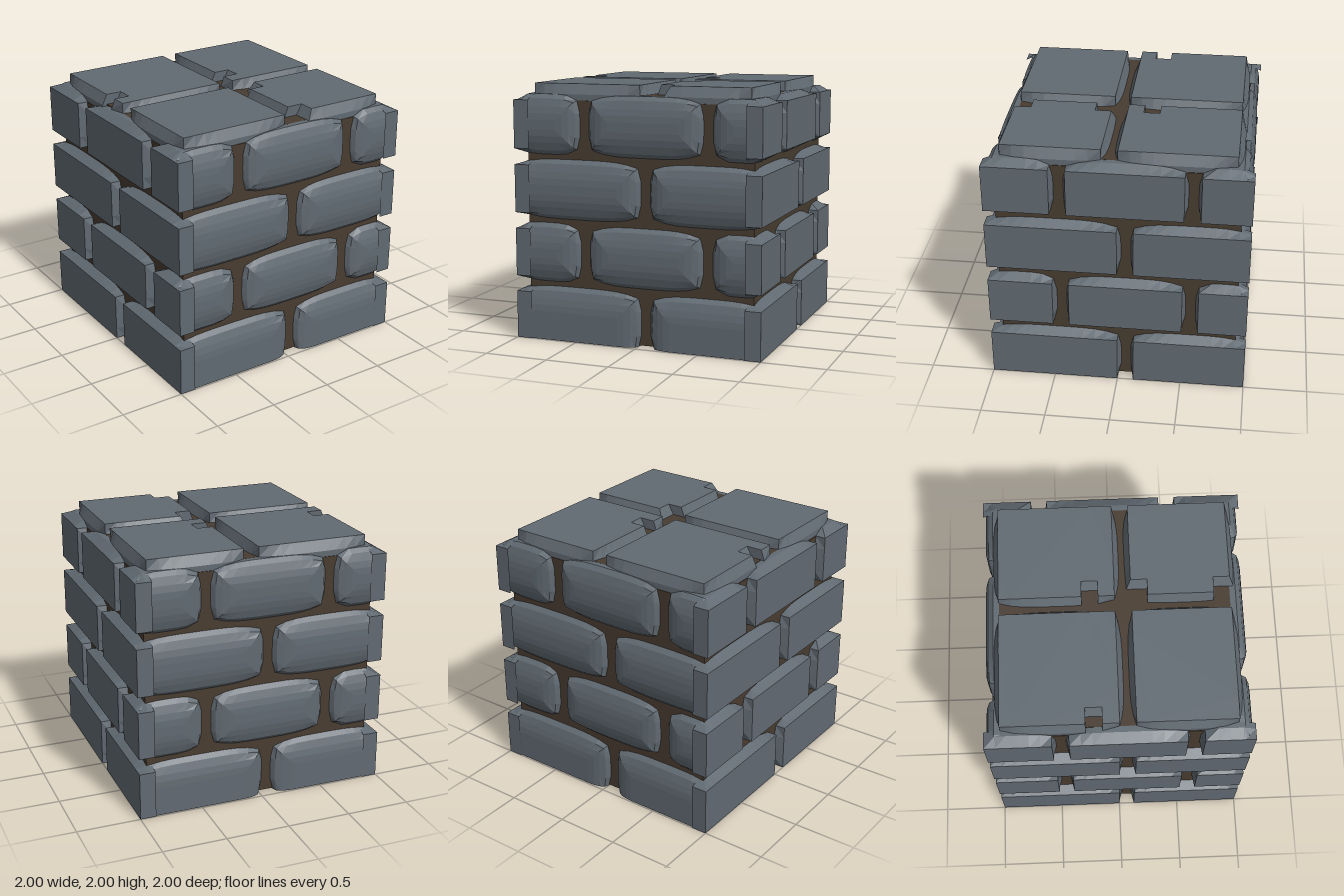
import * as THREE from 'three';

const stone = new THREE.MeshStandardMaterial({ color: 0x616a72 });
stone.name = 'slate stone';
const mortar = new THREE.MeshStandardMaterial({ color: 0x483c30 });
mortar.name = 'brown mortar';

const CORE = 0.875, FLOOR = 0.92;
const taper = (p, a, b) => Math.max(0, 1 - Math.abs((2 * (p - a)) / (b - a) - 1) ** 4);

// Split every long edge of a polygon so that it can curve
function subdivide(corners) {
  return corners.flatMap(([ax, ay], i) => {
    const [bx, by] = corners[(i + 1) % corners.length];
    const n = Math.max(1, Math.round(Math.hypot(bx - ax, by - ay) / 0.09));
    return Array.from({ length: n }, (_, k) => [ax + ((bx - ax) * k) / n, ay + ((by - ay) * k) / n]);
  });
}

// Faceted solid through matching loops of [x, y, z], closed on the outer end
function loft(loops) {
  const pos = [];
  for (let l = 0; l + 1 < loops.length; l++) {
    const a = loops[l], b = loops[l + 1];
    a.forEach((p, i) => {
      const j = (i + 1) % a.length;
      pos.push(...p, ...a[j], ...b[j], ...p, ...b[j], ...b[i]);
    });
  }
  const top = loops[loops.length - 1];
  const flat = top.map(([x, y]) => new THREE.Vector2(x, y));
  for (const f of THREE.ShapeUtils.triangulateShape(flat, [])) f.forEach((i) => pos.push(...top[i]));
  const geo = new THREE.BufferGeometry();
  geo.setAttribute('position', new THREE.Float32BufferAttribute(pos, 3));
  geo.computeVertexNormals();
  return geo;
}

function addMesh(parent, geo, mat, name) {
  const m = new THREE.Mesh(geo, mat);
  m.name = name;
  parent.add(m);
  return m;
}

// Profiles as [depth, base flare, inset]
const flatProfile = [[CORE, 1, 0], [FLOOR, 1, 0], [1, 0, 0]];
const pillowProfile = [
  [CORE, 1, 0], [FLOOR, 1, 0], [0.955, 0.6, 0.015], [0.975, 0, 0.05], [0.986, 0, 0.1], [0.99, 0, 0.15],
];

// Wall brick: flared at the root, straight where it meets a cube edge
function brick(u0, u1, v0, v1, profile) {
  const pts = subdivide([[u0, v0], [u1, v0], [u1, v1], [u0, v1]]);
  const fixL = u0 === -1, fixR = u1 === 1, fixB = v0 === 0;
  return loft(profile.map(([d, flare, inset]) => {
    const a = fixL ? u0 : u0 + inset, b = fixR ? u1 : u1 - inset;
    const c = fixB ? v0 : v0 + inset, e = v1 - inset;
    return pts.map(([u, v]) => {
      const du = 0.025 * flare * taper(v, v0, v1), dv = 0.045 * flare * taper(u, u0, u1);
      let x = a + ((u - u0) / (u1 - u0)) * (b - a);
      let y = c + ((v - v0) / (v1 - v0)) * (e - c);
      if (u === u0 && !fixL) x -= du;
      if (u === u1 && !fixR) x += du;
      if (v === v0 && !fixB) y -= dv;
      if (v === v1) y += dv;
      return [x, y, d];
    });
  }));
}

// Top slab with square chips along its left edge (chips listed from high w to low w)
function slab(x0, x1, w0, w1, chips) {
  const xi = x0 + 0.125;
  const corners = [[x1, w0], [x1, w1]];
  if (!chips.some((c) => c[1] === w1)) corners.push([x0, w1]);
  for (const [lo, hi] of chips) {
    if (hi !== w1) corners.push([x0, hi]);
    corners.push([xi, hi], [xi, lo]);
    if (lo !== w0) corners.push([x0, lo]);
  }
  if (!chips.some((c) => c[0] === w0)) corners.push([x0, w0]);
  const pts = subdivide(corners);
  return loft([[CORE + 1, 1], [FLOOR + 1, 1], [2, 0]].map(([d, flare]) => pts.map(([x, w]) => {
    const dx = 0.04 * flare * taper(w, w0, w1), dw = 0.04 * flare * taper(x, x0, x1);
    let nx = x, nw = w;
    if (x === x0) nx -= dx;
    if (x === x1) nx += dx;
    if (w === w0) nw -= dw;
    if (w === w1) nw += dw;
    if (x === xi && chips.some((c) => w >= c[0] && w <= c[1])) nx -= 0.045 * flare;
    return [nx, nw, d];
  })));
}

export function createModel() {
  const model = new THREE.Group();
  model.name = 'stoneBrickBlock';

  // Mortar core
  const inner = addMesh(model, new THREE.BoxGeometry(2 * CORE, FLOOR + 1, 2 * CORE), mortar, 'mortarCore');
  inner.position.y = (FLOOR + 1) / 2;
  const outer = addMesh(model, new THREE.BoxGeometry(2 * FLOOR, 1.865, 2 * FLOOR), mortar, 'mortarWalls');
  outer.position.y = 0.01 + 1.865 / 2;

  // Four brick walls; front and back are pillowed, left and right flat
  const courses = [
    [[-1, 0], [0.125, 1]],
    [[-1, -0.5], [-0.375, 0.5], [0.625, 1]],
  ];
  ['frontWall', 'rightSideWall', 'backWall', 'leftSideWall'].forEach((name, k) => {
    const wall = new THREE.Group();
    wall.name = name;
    wall.rotation.y = (k * Math.PI) / 2;
    for (let row = 0; row < 4; row++) {
      for (const [u0, u1] of courses[row % 2]) {
        const geo = brick(u0, u1, row / 2, row / 2 + 0.375, k % 2 ? flatProfile : pillowProfile);
        addMesh(wall, geo, stone, 'brick');
      }
    }
    model.add(wall);
  });

  // Four paving slabs on top
  const top = new THREE.Group();
  top.name = 'topSlabs';
  top.rotation.x = -Math.PI / 2;
  addMesh(top, slab(-0.875, 0, 0, 0.875, [[0.125, 0.25]]), stone, 'backSlabA');
  addMesh(top, slab(0.125, 0.875, 0, 0.875, [[0.125, 0.25]]), stone, 'backSlabB');
  addMesh(top, slab(-0.875, 0, -0.875, -0.125, []), stone, 'frontSlabA');
  addMesh(top, slab(0.125, 0.875, -0.875, -0.125, [[-0.25, -0.125], [-0.875, -0.75]]), stone, 'frontSlabB');
  model.add(top);
  return model;
}
